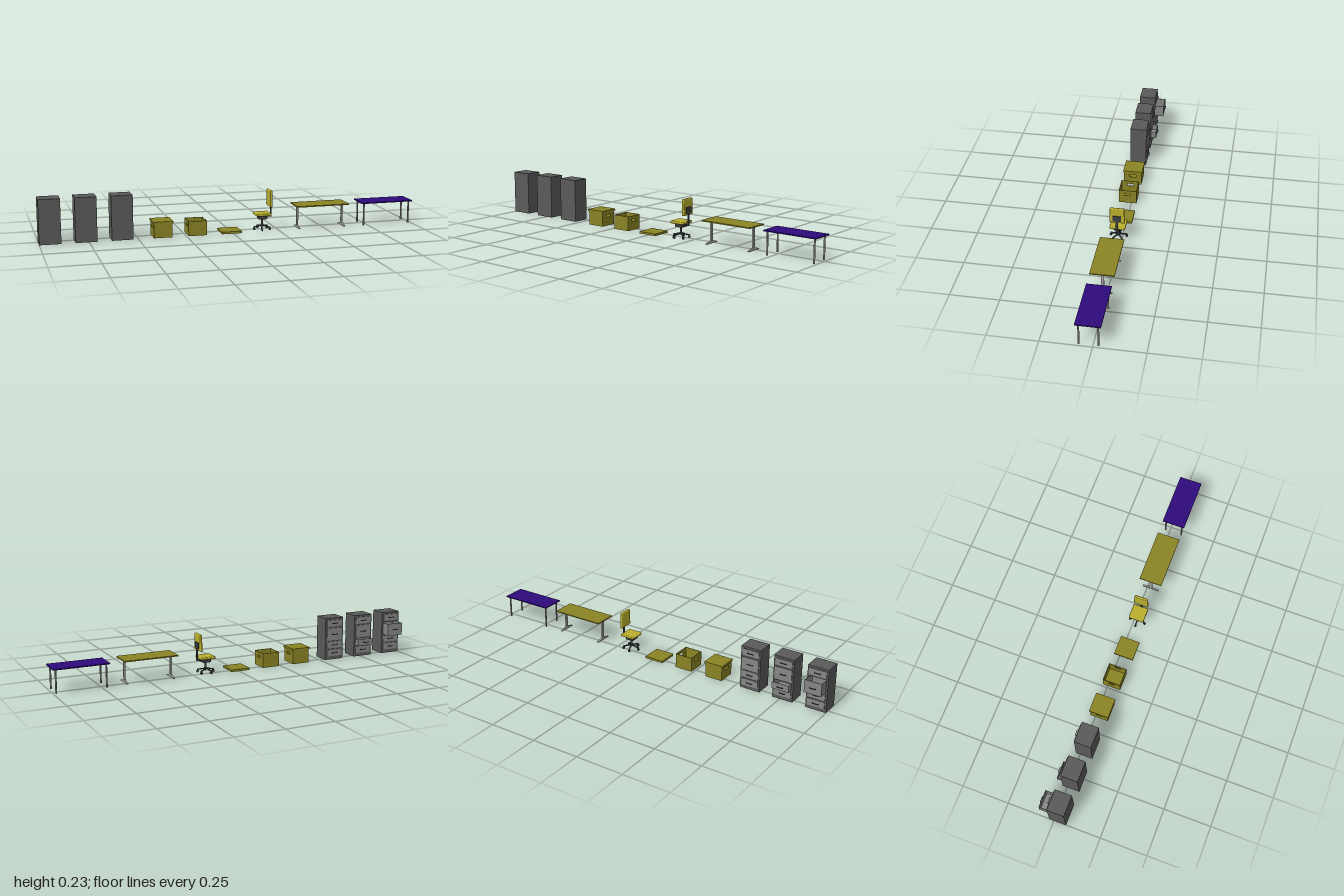
import * as THREE from 'three';
import { RoundedBoxGeometry } from 'three/addons/geometries/RoundedBoxGeometry.js';

const mat = (name, color) => {
  const m = new THREE.MeshStandardMaterial({ color });
  m.name = name;
  return m;
};
const M = {
  cabinet: mat('dark grey steel', 0x5a5a5a),
  drawer: mat('mid grey steel', 0x868686),
  metal: mat('light grey metal', 0xa8a8a8),
  olive: mat('olive board', 0x8a8424),
  fabric: mat('yellow fabric', 0xbab02e),
  purple: mat('purple laminate', 0x2e0a7c),
  black: mat('charcoal plastic', 0x3c3e42),
};
const ZC = 0.021; // common depth centre of the furniture row

function add(parent, name, geometry, material, x = 0, y = 0, z = 0) {
  const mesh = new THREE.Mesh(geometry, material);
  mesh.name = name;
  mesh.position.set(x, y, z);
  parent.add(mesh);
  return mesh;
}

// box given by its minimum and maximum corners
function block(parent, name, material, [x0, y0, z0], [x1, y1, z1]) {
  return add(parent, name, new THREE.BoxGeometry(x1 - x0, y1 - y0, z1 - z0), material,
    (x0 + x1) / 2, (y0 + y1) / 2, (z0 + z1) / 2);
}

function group(parent, name, x, z = ZC) {
  const g = new THREE.Group();
  g.name = name;
  g.position.set(x, 0, z);
  parent.add(g);
  return g;
}

const rectPoints = (x0, y0, x1, y1) => [[x0, y0], [x1, y0], [x1, y1], [x0, y1]]
  .map(([x, y]) => new THREE.Vector2(x, y));

// rectangular plate with rectangular openings
function plate(outer, holes, depth) {
  const shape = new THREE.Shape(rectPoints(...outer));
  holes.forEach(h => shape.holes.push(new THREE.Path(rectPoints(...h).reverse())));
  return new THREE.ExtrudeGeometry(shape, { depth, bevelEnabled: false });
}

// open-topped tray used for the drawers
function tray(parent, w, h, z0, z1, y0) {
  const t = 0.002, a = w / 2;
  block(parent, 'drawerFloor', M.drawer, [-a, y0, z0], [a, y0 + t, z1]);
  block(parent, 'drawerBack', M.drawer, [-a, y0, z1 - t], [a, y0 + h, z1]);
  for (const s of [-1, 1]) {
    const x = s * (a - t / 2);
    block(parent, 'drawerSide', M.drawer, [x - t / 2, y0, z0], [x + t / 2, y0 + h, z1]);
  }
}

// filing cabinet facing -z, with one drawer optionally pulled out
function cabinet(parent, x, openIndex, pull) {
  const g = group(parent, 'filingCabinet', x);
  const rows = [[0.019, 0.056], [0.064, 0.101], [0.107, 0.175], [0.184, 0.22]];
  const holes = rows.map(([a, b]) => [-0.046, a, 0.046, b]);
  add(g, 'cabinetBody', plate([-0.055, 0, 0.055, 0.231], holes, 0.087), M.cabinet, 0, 0, -0.045);
  block(g, 'cabinetBack', M.cabinet, [-0.055, 0, 0.042], [0.055, 0.231, 0.045]);
  rows.forEach(([a, b], i) => {
    const d = new THREE.Group();
    d.name = 'drawer';
    d.position.z = i === openIndex ? -pull : 0;
    g.add(d);
    block(d, 'drawerFront', M.drawer, [-0.046, a, -0.049], [0.046, b, -0.046]);
    tray(d, 0.09, (b - a) * 0.97, -0.046, 0.035, a);
    // pull handle
    const c = (a + b) / 2;
    block(d, 'handleBar', M.black, [-0.016, c - 0.002, -0.057], [0.016, c + 0.002, -0.055]);
    for (const s of [-0.015, 0.015])
      block(d, 'handlePost', M.black, [s - 0.001, c - 0.001, -0.055], [s + 0.001, c + 0.001, -0.049]);
  });
}

// hollow lid, open below
function lid(parent, y0) {
  const a = 0.0525, t = 0.003, h = 0.011;
  block(parent, 'lidTop', M.olive, [-a, y0 + h - t, -a], [a, y0 + h, a]);
  const rim = add(parent, 'lidRim',
    plate([-a, -a, a, a], [[t - a, t - a, a - t, a - t]], h - t), M.olive, 0, y0 + h - t, 0);
  rim.rotation.x = Math.PI / 2;
}

// storage box with hand holes in its two x sides
function crate(parent) {
  const a = 0.048, t = 0.003, h = 0.077;
  block(parent, 'boxFloor', M.olive, [-a, 0, -a], [a, t, a]);
  for (const s of [-1, 1]) {
    const z = s * (a - t / 2);
    block(parent, 'boxWall', M.olive, [-a, 0, z - t / 2], [a, h, z + t / 2]);
    const side = add(parent, 'boxHandleWall',
      plate([-a + t, 0, a - t, h], [[-0.017, 0.046, 0.017, 0.06]], t), M.olive,
      s > 0 ? a - t : -a, 0, 0);
    side.rotation.y = Math.PI / 2;
  }
}

// swivel chair facing -x
function chair(parent) {
  const g = group(parent, 'officeChair', 0.17, 0.019);
  add(g, 'seat', new RoundedBoxGeometry(0.082, 0.014, 0.082, 2, 0.005), M.fabric, 0.001, 0.085, 0);
  const back = new RoundedBoxGeometry(0.013, 0.088, 0.08, 2, 0.005);
  const p = back.attributes.position;
  for (let i = 0; i < p.count; i++) p.setZ(i, p.getZ(i) * (0.96 - p.getY(i) * 0.9));
  add(g, 'backrest', back, M.fabric, 0.04, 0.168, 0);
  // back support
  block(g, 'backPlate', M.black, [0.0465, 0.137, -0.021], [0.051, 0.168, 0.021]);
  block(g, 'backArm', M.black, [0.047, 0.07, -0.007], [0.051, 0.14, 0.007]);
  block(g, 'armBase', M.black, [0, 0.069, -0.007], [0.051, 0.074, 0.007]);
  block(g, 'seatMount', M.black, [-0.022, 0.056, -0.022], [0.022, 0.079, 0.022]).scale.y = 0.75;
  add(g, 'column', new THREE.CylinderGeometry(0.005, 0.006, 0.04, 12), M.black, 0, 0.042, 0);
  add(g, 'hub', new THREE.CylinderGeometry(0.008, 0.009, 0.012, 12), M.black, 0, 0.024, 0);
  // five-star base with casters
  for (let i = 0; i < 5; i++) {
    const leg = new THREE.Group();
    leg.name = 'baseLeg';
    leg.rotation.y = Math.PI + i * Math.PI * 2 / 5;
    g.add(leg);
    const spoke = add(leg, 'spoke', new THREE.BoxGeometry(0.044, 0.005, 0.007), M.black, 0.024, 0.02, 0);
    spoke.rotation.z = -0.2;
    for (const z of [-0.003, 0.003])
      add(leg, 'caster', new THREE.CylinderGeometry(0.0065, 0.0065, 0.004, 12), M.black, 0.043, 0.0065, z)
        .rotation.x = Math.PI / 2;
  }
}

function tableTop(g, material) {
  block(g, 'tableTop', material, [-0.1445, 0.12, -0.0615], [0.1445, 0.126, 0.0615]);
}

// table on two T-shaped legs
function pedestalTable(parent, x) {
  const g = group(parent, 'pedestalTable', x);
  tableTop(g, M.olive);
  const foot = new THREE.Shape([[-0.046, 0], [0.046, 0], [0.046, 0.004], [0.008, 0.014],
    [-0.008, 0.014], [-0.046, 0.004]].map(([a, b]) => new THREE.Vector2(a, b)));
  const footGeo = new THREE.ExtrudeGeometry(foot, { depth: 0.009, bevelEnabled: false });
  footGeo.translate(0, 0, -0.0045).rotateY(Math.PI / 2);
  for (const s of [-1, 1]) {
    const lx = s * 0.126;
    add(g, 'foot', footGeo, M.metal, lx, 0, 0);
    block(g, 'post', M.metal, [lx - 0.004, 0.01, -0.007], [lx + 0.004, 0.12, 0.007]);
  }
}

// table on four round legs
function fourLegTable(parent, x) {
  const g = group(parent, 'fourLegTable', x);
  tableTop(g, M.purple);
  for (const sx of [-1, 1]) for (const sz of [-1, 1])
    add(g, 'tableLeg', new THREE.CylinderGeometry(0.0045, 0.0045, 0.12, 16), M.drawer,
      sx * 0.129, 0.06, sz * 0.046);
}

export function createModel() {
  const root = new THREE.Group();
  root.name = 'officeFurniture';
  cabinet(root, -0.945, 2, 0.045);
  cabinet(root, -0.764, 1, 0.026);
  cabinet(root, -0.581, -1, 0);
  const closed = group(root, 'closedBox', -0.372);
  crate(closed);
  lid(closed, 0.074);
  crate(group(root, 'openBox', -0.191));
  lid(group(root, 'looseLid', -0.009), 0);
  chair(root);
  pedestalTable(root, 0.491);
  fourLegTable(root, 0.8555);
  return root;
}
